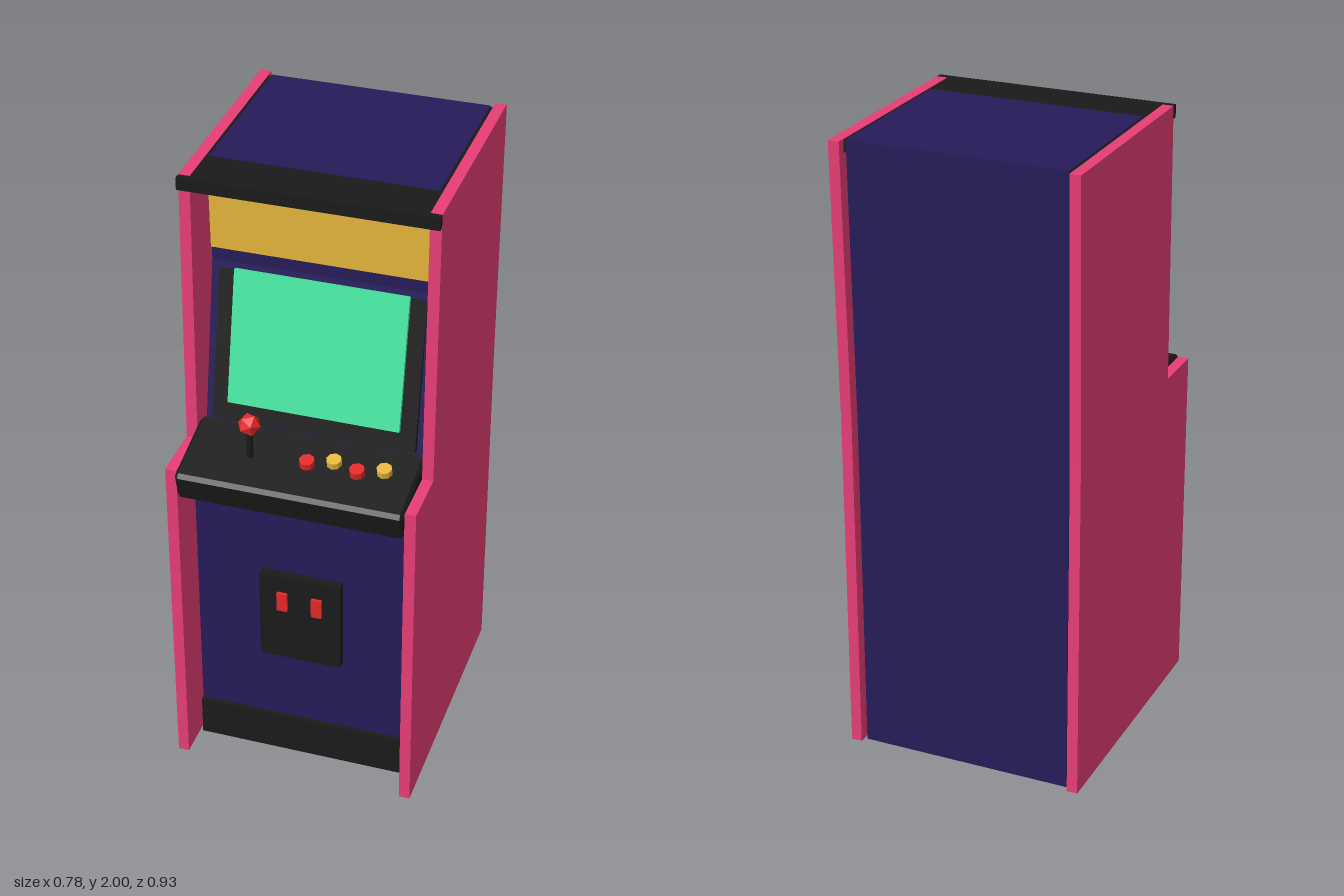
import * as THREE from 'three';

const mat = (name, color) => {
  const m = new THREE.MeshStandardMaterial({ color });
  m.name = name;
  return m;
};

export function createModel() {
  const root = new THREE.Group();
  root.name = 'arcadeCabinet';

  const pink = mat('pink', 0xe83e76);
  const navy = mat('navy', 0x261b59);
  const black = mat('black', 0x1a1a1a);
  const gold = mat('gold', 0xe8b83c);
  const green = mat('screenGreen', 0x46e8a2);
  const red = mat('red', 0xe82929);

  const add = (name, geometry, material, x = 0, y = 0, z = 0, parent = root) => {
    const mesh = new THREE.Mesh(geometry, material);
    mesh.name = name;
    mesh.position.set(x, y, z);
    parent.add(mesh);
    return mesh;
  };
  const box = (w, h, d) => new THREE.BoxGeometry(w, h, d);

  // Extrudes a [z, y] side profile across x, centred on x = 0
  const profile = (points, width, bevel = 0) => {
    const shape = new THREE.Shape(points.map(([z, y]) => new THREE.Vector2(z, y)));
    const depth = width - 2 * bevel;
    const g = new THREE.ExtrudeGeometry(shape, {
      depth, bevelEnabled: bevel > 0, bevelThickness: bevel,
      bevelSize: bevel, bevelOffset: -bevel, bevelSegments: 1,
    });
    g.translate(0, 0, -depth / 2);
    g.rotateY(-Math.PI / 2);
    return g;
  };

  // Side panels
  const sideGeo = profile([
    [0.445, 0], [0.445, 1.11], [0.262, 1.11], [0.245, 2],
    [-0.468, 2], [-0.445, 1.11], [-0.445, 0],
  ], 0.035);
  for (const [name, s] of [['leftSidePanel', 1], ['rightSidePanel', -1]]) {
    add(name, sideGeo, pink, s * 0.3725);
  }

  // Inner body, leaning back behind the screen
  add('body', profile([
    [0.325, 0], [0.325, 1.07], [0.21, 1.12], [0.113, 1.66], [0.11, 2],
    [-0.445, 2], [-0.425, 1.11], [-0.425, 0],
  ], 0.69), navy);

  // Lid between the panels, with a full-width front bar
  add('lid', box(0.71, 0.038, 0.683), black, 0, 1.979, -0.0985);
  add('lidFrontBar', box(0.78, 0.04, 0.022), black, 0, 1.98, 0.254);

  // Marquee, tilted very slightly downwards
  add('marquee', box(0.665, 0.23, 0.05), gold, 0, 1.84, 0.132).rotation.x = 0.03;

  // Screen and bezel
  const monitor = new THREE.Group();
  monitor.name = 'monitor';
  monitor.position.set(0, 1.42, 0.18);
  monitor.rotation.x = -0.21;
  root.add(monitor);
  add('bezel', box(0.64, 0.48, 0.05), black, 0, -0.015, -0.037, monitor);
  add('screen', box(0.54, 0.424, 0.014), green, 0, 0.02, -0.006, monitor);

  // Control deck with chamfered edges
  add('controlDeck', profile([
    [0.448, 1.02], [0.466, 1.098], [0.456, 1.112], [0.225, 1.168], [0.225, 1.02],
  ], 0.71, 0.01), black);

  // Joystick
  add('joystickShaft', new THREE.CylinderGeometry(0.011, 0.011, 0.11, 8), black, -0.157, 1.18, 0.342);
  add('joystickBall', new THREE.IcosahedronGeometry(0.036, 0), red, -0.157, 1.252, 0.342)
    .rotation.set(0.3, 0.5, 0);

  // Buttons, square to the sloping deck
  const buttonGeo = new THREE.CylinderGeometry(0.024, 0.024, 0.032, 8).toNonIndexed();
  buttonGeo.computeVertexNormals();
  [0.021, 0.099, 0.177, 0.255].forEach((x, i) => {
    const odd = i % 2 === 1;
    add('button' + (i + 1), buttonGeo, odd ? gold : red, x, odd ? 1.151 : 1.147, odd ? 0.316 : 0.338)
      .rotation.x = 0.2;
  });

  // Coin door and slots
  add('coinDoor', box(0.262, 0.315, 0.03), black, 0, 0.558, 0.342);
  for (const s of [-1, 1]) {
    add('coinSlot', box(0.034, 0.066, 0.012), red, s * 0.056, 0.623, 0.361);
  }

  // Kick plate
  add('kickPlate', box(0.69, 0.136, 0.02), black, 0, 0.068, 0.33);

  return root;
}
